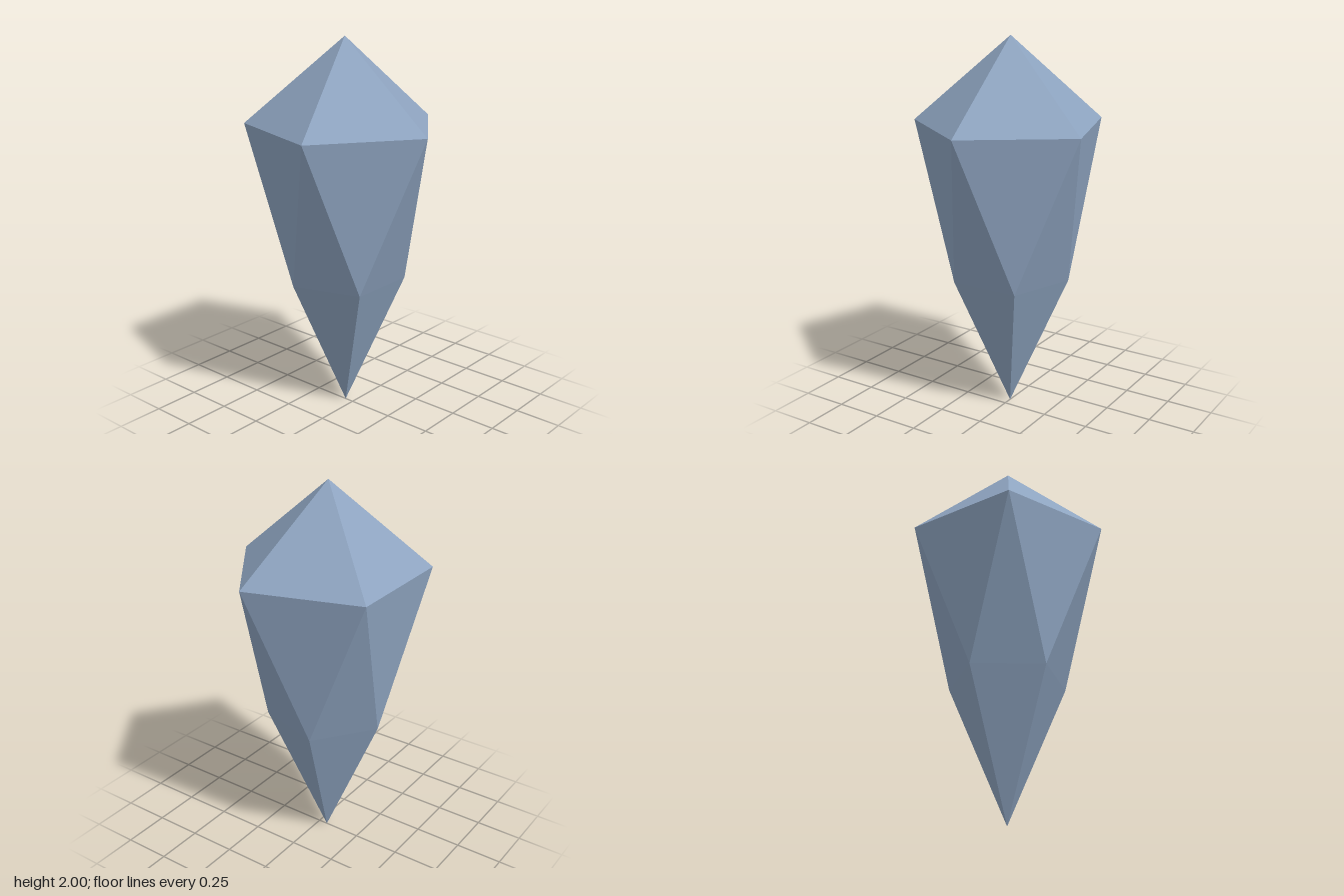
import * as THREE from 'three';

const SIDES = 5;
const AXIS_X = -0.05; // centres the five-sided outline on x

// Ring of corners around the crystal's axis; turn is in steps of one side
function ring(radius, y, turn) {
  return Array.from({ length: SIDES }, (_, i) => {
    const a = ((i + turn) / SIDES) * Math.PI * 2;
    return new THREE.Vector3(AXIS_X + radius * Math.cos(a), y, radius * Math.sin(a));
  });
}

// Flat-faceted mesh from a list of corner triples
function facets(name, corners, material) {
  const geometry = new THREE.BufferGeometry().setFromPoints(corners);
  geometry.computeVertexNormals();
  const mesh = new THREE.Mesh(geometry, material);
  mesh.name = name;
  return mesh;
}

export function createModel() {
  const crystalBlue = new THREE.MeshStandardMaterial({ color: 0x8ea4c0 });
  crystalBlue.name = 'crystal blue';

  const peak = new THREE.Vector3(AXIS_X, 2, 0);
  const tip = new THREE.Vector3(AXIS_X, 0.005, 0);
  const upper = ring(0.518, 1.555, 0);
  const lower = ring(0.315, 0.737, 0.5); // twisted half a side

  const crown = [], girdle = [], point = [];
  for (let i = 0; i < SIDES; i++) {
    const j = (i + 1) % SIDES;
    crown.push(peak, upper[j], upper[i]);
    girdle.push(upper[i], upper[j], lower[i], upper[j], lower[j], lower[i]);
    point.push(lower[i], lower[j], tip);
  }

  const crystal = new THREE.Group();
  crystal.name = 'crystal';
  crystal.add(
    facets('crown', crown, crystalBlue),
    facets('body', girdle, crystalBlue),
    facets('lowerPoint', point, crystalBlue)
  );
  return crystal;
}
